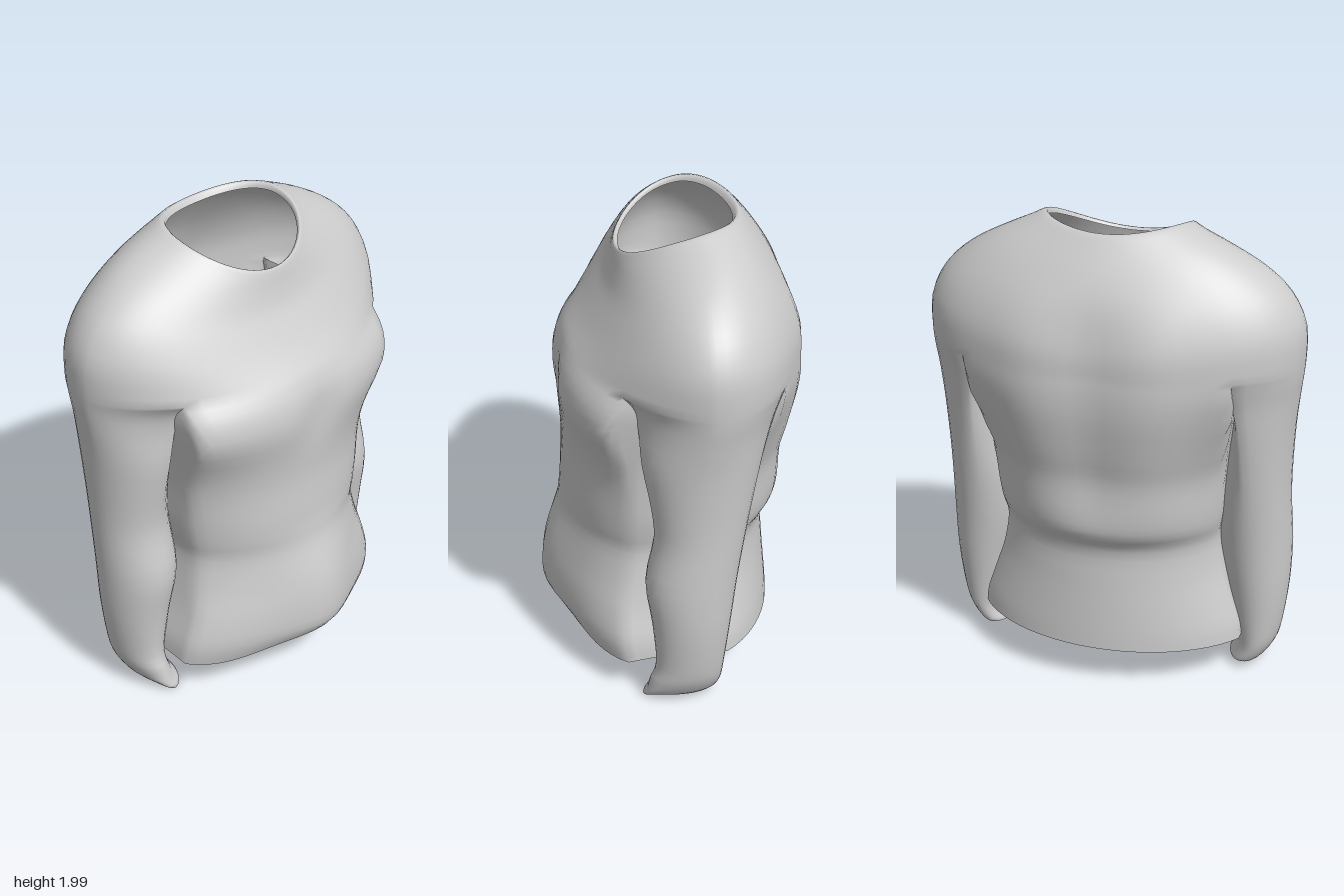
import * as THREE from 'three';

const SEG = 64;          // points round the body
const SPLIT = 1.45;      // height where the yoke divides into torso and sleeves
const CUT = Math.SQRT1_2; // 45 degrees: armhole edge on the yoke ring
const HALF = 0.785;      // half width across the shoulders
const SLIM = 1.2;        // above 1 draws the front in towards the arms, below 1 fills it out
const { lerp, smoothstep } = THREE.MathUtils;
const bump = (x, width) => Math.exp(-((x / width) ** 2));

// Smooth in-between rows from a few key rows
function refine(keys, steps) {
  const rows = [];
  const at = i => keys[Math.max(0, Math.min(keys.length - 1, i))];
  for (let k = 0; k < keys.length - 1; k++) {
    for (let s = 0; s < steps; s++) {
      const t = s / steps;
      rows.push(at(k).map((b, n) => {
        const a = at(k - 1)[n], c = at(k + 1)[n], d = at(k + 2)[n];
        return b + 0.5 * t * (c - a + t * (2 * a - 5 * b + 4 * c - d + t * (3 * (b - c) + d - a)));
      }));
    }
  }
  rows.push(keys[keys.length - 1]);
  return rows;
}

// Closed rings stacked upwards and skinned; point(row, angle) gives [x, y, z]
function loft(rows, seg, point) {
  const pos = [], index = [];
  rows.forEach((row, j) => {
    for (let i = 0; i < seg; i++) {
      pos.push(...point(row, (i / seg) * Math.PI * 2));
      if (j === rows.length - 1) continue;
      const a = j * seg + i, b = j * seg + (i + 1) % seg;
      index.push(a, a + seg, b, b, a + seg, b + seg);
    }
  });
  const geo = new THREE.BufferGeometry();
  geo.setAttribute('position', new THREE.Float32BufferAttribute(pos, 3));
  geo.setIndex(index);
  geo.computeVertexNormals();
  return geo;
}

// Depth of the body: spine groove and shoulder blades behind, chest dip and belly in front
function depth(x, y, s, zc, zf, zb, fill) {
  if (s < 0) {
    const fade = smoothstep(y, 0.65, 1) * (1 - smoothstep(y, 1.55, 1.85));
    return zc + (zc - zb) * s + fade * (0.02 * bump(x, 0.1) - 0.018 * bump(Math.abs(x) - 0.27, 0.13));
  }
  const chest = -0.025 * bump(x, 0.1) * bump(y - 1.28, 0.12);
  const belly = 0.06 * bump(x, 0.2) * (1 - smoothstep(y, 0.45, 0.8));
  return zc + (zf - zc) * s ** fill + chest + belly;
}

// Average the normals along the seams so the parts shade as one cloth
function weldNormals(yoke, others) {
  const sums = new Map();
  const each = (geo, fn) => {
    const p = geo.attributes.position, n = geo.attributes.normal;
    for (let i = 0; i < p.count; i++) {
      const key = [p.getX(i), p.getY(i), p.getZ(i)].map(v => Math.round(v * 1000)).join();
      fn(key, new THREE.Vector3().fromBufferAttribute(n, i), n, i);
    }
  };
  each(yoke, (key, v) => sums.set(key, v));
  others.forEach(g => each(g, (key, v) => sums.has(key) && sums.get(key).add(v)));
  [yoke, ...others].forEach(g => each(g, (key, v, n, i) => {
    if (!sums.has(key)) return;
    const u = sums.get(key).clone().normalize();
    n.setXYZ(i, u.x, u.y, u.z);
  }));
}

// Shoulders and neckline: half width, z centre, z front, z back, y front, y side, y back, front fill
function yokeGeometry() {
  const rows = refine([
    [HALF, -0.1, 0.41, -0.53, SPLIT, SPLIT, SPLIT, SLIM],
    [0.782, -0.1, 0.345, -0.525, 1.53, 1.6, 1.54, 1.15],
    [0.72, -0.1, 0.285, -0.5, 1.62, 1.73, 1.64, 1.1],
    [0.61, -0.1, 0.245, -0.46, 1.69, 1.83, 1.74, 1.05],
    [0.48, -0.11, 0.222, -0.4, 1.76, 1.905, 1.84, 1],
    [0.355, -0.09, 0.21, -0.335, 1.815, 1.96, 1.93, 1],
    [0.3, -0.06, 0.2, -0.295, 1.84, 1.98, 1.975, 1],
    [0.29, -0.06, 0.185, -0.27, 1.83, 1.955, 1.95, 1],
  ], 3);
  return loft(rows, SEG, ([w, zc, zf, zb, yf, ys, yb, fill], a) => {
    const s = Math.sin(a), x = w * Math.cos(a);
    const y = ys + (yf - yb) / 2 * s + ((yf + yb) / 2 - ys) * s * s;
    return [x, y, depth(x, y, s, zc, zf, zb, fill)];
  });
}

// Trunk: y, half width, z centre, z front, z back, flatness of the sides, front fill
function torsoGeometry() {
  const rows = refine([
    [0.185, 0.57, 0.03, 0.44, -0.445, 0.88, 1],
    [0.26, 0.56, 0.03, 0.475, -0.44, 0.88, 1],
    [0.38, 0.52, 0.03, 0.475, -0.43, 0.88, 1],
    [0.5, 0.49, 0.02, 0.457, -0.42, 0.9, 1],
    [0.64, 0.465, 0, 0.44, -0.415, 0.9, 1],
    [0.73, 0.477, 0, 0.445, -0.47, 0.9, 1],
    [0.82, 0.49, 0, 0.445, -0.483, 0.9, 1],
    [0.97, 0.5, 0, 0.437, -0.48, 0.88, 1],
    [1.1, 0.515, -0.03, 0.445, -0.505, 0.84, 0.9],
    [1.26, 0.545, -0.05, 0.465, -0.53, 0.77, 0.75],
    [1.37, 0.56, -0.08, 0.45, -0.535, 0.73, 0.9],
    [SPLIT, HALF * CUT, -0.1, 0.41, -0.53, CUT, SLIM],
  ], 3);
  return loft(rows, SEG, ([y, w, zc, zf, zb, cut, fill], a) => {
    const c = Math.cos(a), s = Math.sin(a);
    const x = w * Math.max(-1, Math.min(1, c / cut));
    const hem = s > 0 ? Math.max(0, (0.27 - y) / 0.085) : 0;
    return [x, y + 0.018 * hem * (Math.cos(4 * a) - 1 + s), depth(x, y, s, zc, zf, zb, fill)];
  });
}

// Sleeve: y, inner x, outer x, z front, z middle, z back, armhole share.
// The section changes from an ellipse to the slice of yoke cut off by the armhole.
function sleeveGeometry(side) {
  const rows = refine([
    [0.065, 0.52, 0.63, 0.13, 0, -0.12, 0],
    [0.04, 0.495, 0.65, 0.165, 0.01, -0.145, 0],
    [0.11, 0.53, 0.695, 0.14, -0.01, -0.16, 0],
    [0.2, 0.52, 0.72, 0.115, -0.03, -0.17, 0],
    [0.4, 0.48, 0.745, 0.13, -0.03, -0.195, 0],
    [0.6, 0.445, 0.75, 0.155, -0.03, -0.22, 0],
    [0.8, 0.45, 0.743, 0.12, -0.06, -0.25, 0.05],
    [0.95, 0.47, 0.743, 0.13, -0.07, -0.275, 0.15],
    [1.15, 0.5, 0.752, 0.165, -0.08, -0.315, 0.4],
    [1.3, 0.525, 0.768, 0.175, -0.09, -0.355, 0.75],
    [1.39, 0.545, 0.78, 0.195, -0.1, -0.385, 0.95],
    [SPLIT, HALF * CUT, HALF, 0.51 * CUT ** SLIM - 0.1, -0.1, -0.43 * CUT - 0.1, 1],
  ], 3);
  return loft(rows, SEG / 2, ([y, xi, xo, zf, zm, zb, slice], angle) => {
    const a = side * angle, c = Math.cos(a), s = Math.sin(a);
    const phi = Math.asin(s) / 2, t = Math.sin(phi) / CUT;
    const across = lerp((1 + c) / 2, c > -1e-6 ? (Math.cos(phi) - CUT) / (1 - CUT) : 0, slice);
    const along = lerp(s, t > 0 ? t ** SLIM : t, slice);
    const tip = y < 0.1 ? 0.035 * Math.max(0, s) ** 4 : 0;
    return [side * lerp(xi, xo, across), y - tip, zm + (s > 0 ? zf - zm : zm - zb) * along];
  });
}

export function createModel() {
  const cloth = new THREE.MeshStandardMaterial({ color: 0xcccccc, side: THREE.DoubleSide });
  cloth.name = 'grey cloth';
  const parts = {
    yoke: yokeGeometry(),
    torso: torsoGeometry(),
    leftSleeve: sleeveGeometry(1),
    rightSleeve: sleeveGeometry(-1),
  };
  const { yoke, ...others } = parts;
  weldNormals(yoke, Object.values(others));

  const shirt = new THREE.Group();
  shirt.name = 'longSleevedShirt';
  for (const [name, geo] of Object.entries(parts)) {
    const mesh = new THREE.Mesh(geo, cloth);
    mesh.name = name;
    shirt.add(mesh);
  }
  return shirt;
}
